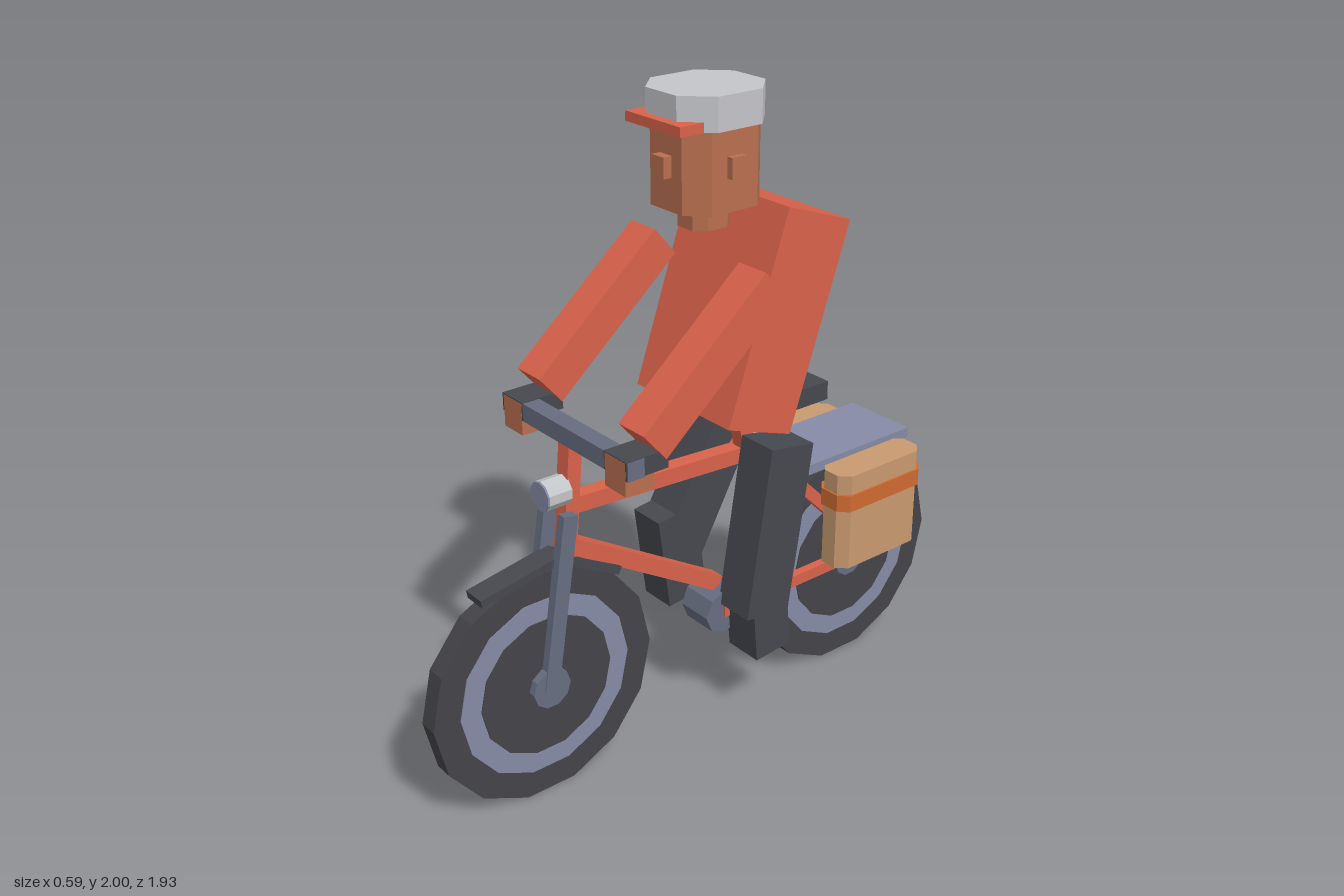
import * as THREE from 'three';

const paint = (name, color) => {
  const m = new THREE.MeshStandardMaterial({ color });
  m.name = name;
  m.flatShading = true;
  return m;
};

export function createModel() {
  const red = paint('red', 0xd9624a);
  const skin = paint('skin', 0xb96f50);
  const tan = paint('tan', 0xc8996f);
  const orange = paint('strap orange', 0xcf6a30);
  const pale = paint('pale grey', 0xc4c5c9);
  const tyre = paint('tyre black', 0x444449);
  const dark = paint('charcoal', 0x46484f);
  const slate = paint('slate', 0x666d80);
  const lilac = paint('lilac metal', 0x868ba6);

  const model = new THREE.Group();
  model.name = 'cyclist';

  const add = (name, geo, mat, x, y, z, parent = model) => {
    const mesh = new THREE.Mesh(geo, mat);
    mesh.name = name;
    mesh.position.set(x, y, z);
    parent.add(mesh);
    return mesh;
  };
  const box = (name, mat, w, h, d, x, y, z, tilt = 0) => {
    const mesh = add(name, new THREE.BoxGeometry(w, h, d), mat, x, y, z);
    mesh.rotation.x = tilt;
    return mesh;
  };
  // Bar between two [z, y] points at a given x
  const beam = (name, mat, x, a, b, w, d) => {
    const dz = b[0] - a[0], dy = b[1] - a[1];
    return box(name, mat, w, Math.hypot(dz, dy), d, x, (a[1] + b[1]) / 2, (a[0] + b[0]) / 2, Math.atan2(dz, dy));
  };
  // Upright block with chamfered vertical corners, y = bottom
  const block = (name, mat, w, h, d, c, x, y, z) => {
    const a = w / 2, b = d / 2;
    const shape = new THREE.Shape([
      [a, -b + c], [a, b - c], [a - c, b], [-a + c, b],
      [-a, b - c], [-a, -b + c], [-a + c, -b], [a - c, -b],
    ].map(p => new THREE.Vector2(p[0], p[1])));
    const geo = new THREE.ExtrudeGeometry(shape, { depth: h, bevelEnabled: false }).rotateX(-Math.PI / 2);
    return add(name, geo, mat, x, y, z);
  };
  // Disc with its axis along x
  const disc = (name, mat, r, w, sides, y, z, parent) =>
    add(name, new THREE.CylinderGeometry(r, r, w, sides).rotateZ(Math.PI / 2), mat, 0, y, z, parent);

  // Wheels with mudguards
  for (const [name, z] of [['frontWheel', 0.59], ['rearWheel', -0.59]]) {
    const wheel = new THREE.Group();
    wheel.name = name;
    wheel.position.set(0, 0.365, z);
    model.add(wheel);
    disc('tyre', tyre, 0.373, 0.06, 14, 0, 0, wheel);
    disc('rim', lilac, 0.288, 0.066, 14, 0, 0, wheel);
    disc('wheelDisc', tyre, 0.222, 0.072, 14, 0, 0, wheel);
    disc('hub', slate, 0.063, 0.12, 10, 0, 0, wheel);
    beam('mudguardFront', dark, 0, [z + 0.2, 0.71], [z - 0.07, 0.757], 0.075, 0.025);
    beam('mudguardRear', dark, 0, [z - 0.06, 0.757], [z - 0.265, 0.645], 0.075, 0.025);
  }

  // Frame
  beam('headTube', red, 0, [0.455, 1.1], [0.488, 0.74], 0.05, 0.045);
  beam('topTube', red, 0, [0.485, 0.9], [-0.14, 0.865], 0.05, 0.05);
  beam('downTube', red, 0, [0.495, 0.785], [-0.06, 0.45], 0.05, 0.05);
  beam('seatTube', red, 0, [-0.145, 1.01], [-0.275, 0.5], 0.05, 0.045);
  for (const s of [-1, 1]) {
    beam('seatStay', red, s * 0.05, [-0.18, 0.885], [-0.625, 0.44], 0.03, 0.038);
    beam('chainStay', red, s * 0.05, [-0.05, 0.37], [-0.605, 0.37], 0.03, 0.038);
    beam('forkBlade', slate, s * 0.048, [0.505, 0.895], [0.592, 0.36], 0.03, 0.048);
  }
  disc('crank', slate, 0.075, 0.12, 8, 0.37, -0.055);
  box('saddle', dark, 0.16, 0.06, 0.27, 0, 1.015, -0.305);

  // Handlebar, headlamp
  box('handlebar', slate, 0.59, 0.055, 0.055, 0, 1.11, 0.453);
  const round = (r, l) => new THREE.CylinderGeometry(r, r, l, 10).rotateX(Math.PI / 2);
  add('headlamp', round(0.045, 0.075), pale, 0, 0.95, 0.522);
  add('headlampLens', round(0.044, 0.006), lilac, 0, 0.95, 0.562);

  // Luggage rack and panniers
  box('rack', lilac, 0.25, 0.033, 0.43, 0, 0.793, -0.545);
  for (const s of [-1, 1]) {
    block('pannier', tan, 0.12, 0.32, 0.345, 0.032, s * 0.175, 0.47, -0.548);
    block('pannierStrap', orange, 0.13, 0.055, 0.355, 0.03, s * 0.175, 0.672, -0.548);
  }

  // Torso and backpack
  box('torso', red, 0.42, 0.64, 0.245, 0, 1.34, -0.155, -0.335);
  box('backpack', dark, 0.3, 0.375, 0.052, 0, 1.367, -0.328, -0.335);
  box('collar', dark, 0.1, 0.05, 0.055, 0, 1.7, -0.125);

  // Arms, hands, grips
  for (const s of [-1, 1]) {
    beam('arm', red, s * 0.24, [-0.025, 1.51], [0.39, 1.155], 0.11, 0.115);
    box('hand', skin, 0.09, 0.098, 0.095, s * 0.242, 1.087, 0.436);
    box('grip', dark, 0.1, 0.055, 0.138, s * 0.243, 1.112, 0.414);
  }

  // Legs: left one stretched down, right one raised
  beam('leftThigh', dark, 0.118, [-0.205, 0.935], [-0.118, 0.39], 0.135, 0.165);
  beam('leftShin', dark, 0.118, [-0.125, 0.5], [-0.147, 0.247], 0.13, 0.135);
  beam('rightThigh', dark, -0.122, [-0.21, 0.97], [0.02, 0.555], 0.13, 0.165);
  beam('rightShin', dark, -0.122, [0.035, 0.69], [-0.005, 0.385], 0.122, 0.145);

  // Head, helmet
  block('neck', skin, 0.125, 0.08, 0.13, 0.03, 0, 1.61, -0.015);
  block('head', skin, 0.25, 0.235, 0.275, 0.057, 0, 1.675, -0.022);
  box('nose', skin, 0.05, 0.06, 0.05, 0, 1.8, 0.118);
  for (const s of [-1, 1]) box('ear', skin, 0.04, 0.06, 0.05, s * 0.125, 1.8, -0.02);
  block('helmet', pale, 0.288, 0.095, 0.308, 0.078, 0, 1.905, -0.023);
  box('helmetPeak', red, 0.235, 0.028, 0.1, 0, 1.918, 0.11);

  return model;
}
